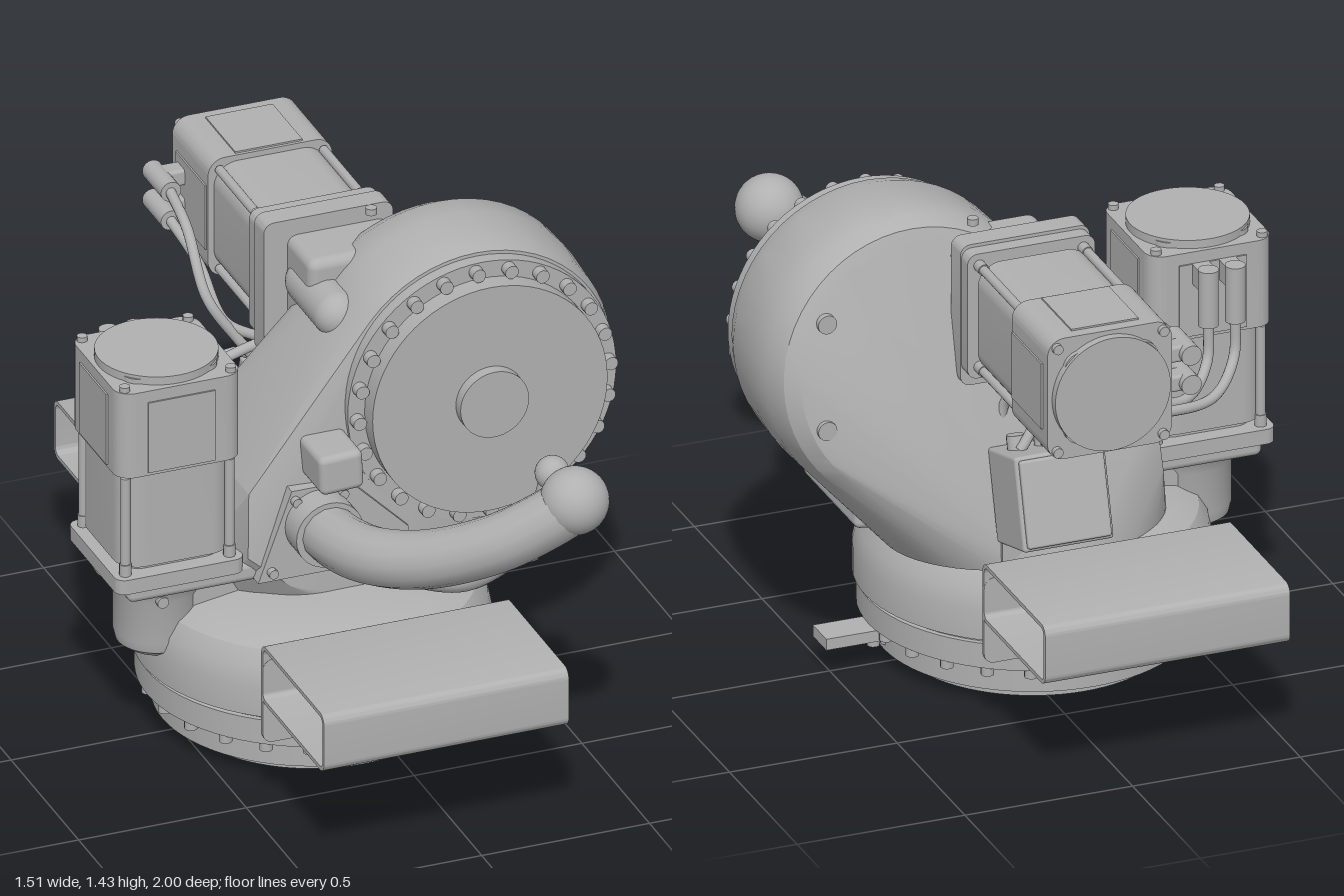
import * as THREE from 'three';
import { toCreasedNormals } from 'three/addons/utils/BufferGeometryUtils.js';
import { ConvexGeometry } from 'three/addons/geometries/ConvexGeometry.js';
import { RoundedBoxGeometry } from 'three/addons/geometries/RoundedBoxGeometry.js';

const grey = new THREE.MeshStandardMaterial({ color: 0xb0b0b0 });
grey.name = 'castGrey';

const V = (x, y, z) => new THREE.Vector3(x, y, z);

function add(parent, name, geo, x = 0, y = 0, z = 0, rx = 0, ry = 0, rz = 0) {
  const m = new THREE.Mesh(geo, grey);
  m.name = name;
  m.position.set(x, y, z);
  m.rotation.set(rx, ry, rz);
  parent.add(m);
  return m;
}
const box = (w, h, d) => new THREE.BoxGeometry(w, h, d);
const rbox = (w, h, d, r = 0.02) => new RoundedBoxGeometry(w, h, d, 3, r);
const cyl = (r, h, n = 48) => new THREE.CylinderGeometry(r, r, h, n);
const lathe = (pts, n = 72) =>
  toCreasedNormals(new THREE.LatheGeometry(pts.map(p => new THREE.Vector2(...p)), n), 0.5);
const tube = (pts, r, seg = 40) =>
  new THREE.TubeGeometry(new THREE.CatmullRomCurve3(pts.map(p => V(...p))), seg, r, 14);

// rectangle outline with rounded corners
function roundRect(P, x0, y0, x1, y1, r) {
  const s = new P();
  s.moveTo(x0 + r, y0);
  s.lineTo(x1 - r, y0); s.absarc(x1 - r, y0 + r, r, -Math.PI / 2, 0);
  s.lineTo(x1, y1 - r); s.absarc(x1 - r, y1 - r, r, 0, Math.PI / 2);
  s.lineTo(x0 + r, y1); s.absarc(x0 + r, y1 - r, r, Math.PI / 2, Math.PI);
  s.lineTo(x0, y0 + r); s.absarc(x0 + r, y0 + r, r, Math.PI, Math.PI * 1.5);
  return s;
}
const extrude = (shape, depth) =>
  toCreasedNormals(new THREE.ExtrudeGeometry(shape, { depth, bevelEnabled: false, curveSegments: 6 }), 0.5);

// square column with rounded corners, standing on y = 0
const column = (w, h, r) =>
  extrude(roundRect(THREE.Shape, -w / 2, -w / 2, w / 2, w / 2, r), h).rotateX(-Math.PI / 2);

// servo motor standing on its flange, shaft down
function motor(name) {
  const g = new THREE.Group();
  g.name = name;
  add(g, 'motorFlange', column(0.38, 0.045, 0.03));
  add(g, 'motorCore', column(0.28, 0.6, 0.05), 0, 0.04);
  add(g, 'motorLowerBody', column(0.335, 0.31, 0.07), 0, 0.065);
  add(g, 'motorUpperBody', column(0.37, 0.265, 0.05), 0, 0.36);
  add(g, 'motorCap', cyl(0.172, 0.03), 0, 0.635);
  for (const sx of [-1, 1]) for (const sz of [-1, 1]) {
    add(g, 'motorFootBolt', cyl(0.017, 0.04, 12), sx * 0.155, 0.06, sz * 0.155);
    add(g, 'motorTopBolt', cyl(0.015, 0.02, 12), sx * 0.158, 0.63, sz * 0.158);
    add(g, 'motorTieRod', cyl(0.014, 0.3, 10), sx * 0.155, 0.2, sz * 0.155);
  }
  for (let i = 0; i < 4; i++) {
    const a = i * Math.PI / 2;
    add(g, 'motorSidePanel', box(0.2, 0.22, 0.008),
      Math.sin(a) * 0.186, 0.48, Math.cos(a) * 0.186, 0, a);
  }
  return g;
}

// forklift pocket with its mounting plate, lugs and bolts, facing +z
function forkPocket(name) {
  const g = new THREE.Group();
  g.name = name;
  const w = 0.73;
  const s = roundRect(THREE.Shape, -1, 0.35, -0.535, 0.53, 0.03);
  s.holes.push(roundRect(THREE.Path, -0.988, 0.362, -0.547, 0.518, 0.02));
  add(g, 'pocketTube', extrude(s, w).rotateY(Math.PI / 2), -w / 2);
  add(g, 'pocketPlate', extrude(roundRect(THREE.Shape, -w / 2, 0.22, w / 2, 0.48, 0.03), 0.013), 0, 0, 0.535);
  for (const x of [-0.177, 0.177]) {
    add(g, 'pocketLug', rbox(0.24, 0.13, 0.22, 0.015), x, 0.285, 0.425);
    add(g, 'pocketWasher', cyl(0.046, 0.02, 32), x, 0.27, 0.555, Math.PI / 2);
    add(g, 'pocketBolt', cyl(0.028, 0.06, 24), x, 0.27, 0.58, Math.PI / 2);
  }
  return g;
}

export function createModel() {
  const root = new THREE.Group();
  root.name = 'robotShoulder';
  const bx = -0.105;

  // turntable base with recessed bore
  add(root, 'turntableBase', lathe([
    [0, 0.06], [0.12, 0.06], [0.12, 0], [0.385, 0], [0.385, 0.04], [0.445, 0.04], [0.445, 0.125],
    [0.49, 0.125], [0.49, 0.2], [0.475, 0.2], [0.475, 0.215], [0.5, 0.215], [0.5, 0.3],
    [0.487, 0.36], [0.46, 0.405], [0.4, 0.435], [0.25, 0.46], [0, 0.47]]), bx);
  for (let i = 0; i < 24; i++) {
    const a = (i + 0.5) * Math.PI / 12;
    add(root, 'baseBolt', cyl(0.019, 0.03, 12), bx + 0.466 * Math.cos(a), 0.112, 0.466 * Math.sin(a));
  }
  // stop tab with its bolts
  add(root, 'stopTab', box(0.27, 0.034, 0.1), 0.395, 0.107, 0);
  for (const x of [0.28, 0.33, 0.37]) add(root, 'stopTabBolt', cyl(0.018, 0.035, 12), x, 0.075, 0);

  // fork pockets, front and back
  const front = forkPocket('frontForkPocket');
  const back = forkPocket('backForkPocket');
  front.position.x = back.position.x = bx;
  back.rotation.y = Math.PI;
  root.add(front, back);

  // main casting: barrel-shaped drum blended down to an oval foot
  const cx = 0.325, cy = 1.0, pts = [];
  const rings = [[0.155, 0.405], [0.1, 0.422], [-0.04, 0.43], [-0.15, 0.426], [-0.22, 0.4], [-0.25, 0.36]];
  for (let i = 0; i < 56; i++) {
    const a = i * Math.PI / 28, c = Math.cos(a), s = Math.sin(a);
    rings.forEach(([z, r], k) => {
      const lean = k > 2 ? 0.17 * (s * r) * (k - 2) / 3 : 0;
      pts.push(V(cx + r * c, cy + r * s, z + lean));
    });
    pts.push(V(-0.03 + 0.41 * c, 0.42, -0.11 + 0.32 * s));
  }
  for (const [x, y, z] of [[-0.36, 0.79, 0.17], [-0.36, 0.79, -0.27], [-0.37, 0.6, 0.19], [-0.37, 0.6, -0.31],
    [-0.25, 0.5, 0.21], [-0.2, 0.6, -0.38], [0.2, 0.5, 0.2]]) pts.push(V(x, y, z));
  add(root, 'shoulderCasting', toCreasedNormals(new ConvexGeometry(pts), 0.45));

  // output flange with bolt circle, disc and hub
  const disc = (name, r, z0, z1, n = 72) =>
    add(root, name, cyl(r, z1 - z0, n), cx, 0.995, (z0 + z1) / 2, Math.PI / 2);
  disc('outputFlange', 0.4, 0.12, 0.195);
  disc('outputDisc', 0.35, 0.15, 0.255);
  disc('outputHub', 0.102, 0.25, 0.29, 48);
  for (let i = 0; i < 24; i++) {
    const a = (i + 0.2) * Math.PI / 12;
    add(root, 'flangeBolt', cyl(0.02, 0.04, 14),
      cx + 0.375 * Math.cos(a), 0.995 + 0.375 * Math.sin(a), 0.205, Math.PI / 2);
  }

  // bump stops on the front
  add(root, 'lowerBumper', rbox(0.18, 0.13, 0.4, 0.02), 0.372, 0.528, 0.09, 0, 0, 0.1);
  add(root, 'upperBumper', rbox(0.13, 0.12, 0.22, 0.02), -0.14, 0.885, 0.21, 0, 0, 0.05);

  // hose entry plate
  const plate = new THREE.Shape([[-0.35, 0.53], [0.1, 0.53], [0.1, 0.62], [-0.08, 0.8], [-0.25, 0.8]]
    .map(p => new THREE.Vector2(...p)));
  add(root, 'hosePlate', extrude(plate, 0.05), 0, 0, 0.165);
  for (const [x, y] of [[-0.31, 0.56], [-0.24, 0.77], [-0.1, 0.77], [0.07, 0.56]])
    add(root, 'hosePlateBolt', cyl(0.014, 0.03, 12), x, y, 0.22, Math.PI / 2);

  // hoses ending in balls
  add(root, 'largeHoseCollar', cyl(0.1, 0.1, 32), -0.17, 0.69, 0.25, Math.PI / 2);
  add(root, 'largeHose', tube([[-0.17, 0.69, 0.18], [-0.165, 0.695, 0.34], [-0.12, 0.715, 0.5],
    [-0.02, 0.76, 0.65], [0.13, 0.85, 0.79], [0.25, 0.935, 0.86], [0.322, 0.99, 0.89]], 0.083));
  add(root, 'largeHoseBall', new THREE.SphereGeometry(0.097, 36, 24), 0.322, 0.995, 0.888);
  add(root, 'smallHoseCollar', cyl(0.045, 0.1, 24), -0.04, 0.6, 0.25, Math.PI / 2);
  add(root, 'smallHose', tube([[-0.04, 0.6, 0.2], [-0.03, 0.6, 0.34], [0.02, 0.61, 0.47],
    [0.12, 0.645, 0.6], [0.23, 0.76, 0.685], [0.295, 0.88, 0.71], [0.325, 0.99, 0.715]], 0.034));
  add(root, 'smallHoseBall', new THREE.SphereGeometry(0.049, 28, 18), 0.325, 0.995, 0.715);

  // upright motor on its gear housing at the right side
  const m1 = motor('uprightMotor');
  m1.position.set(-0.567, 0.56, 0);
  root.add(m1);
  add(root, 'uprightMotorHousing', lathe([[0, 0.29], [0.09, 0.29], [0.115, 0.31], [0.122, 0.34],
    [0.122, 0.47], [0.14, 0.51], [0.18, 0.54], [0.18, 0.565], [0, 0.565]], 48), -0.567);
  add(root, 'uprightMotorWeb', rbox(0.32, 0.25, 0.2, 0.03), -0.42, 0.42, 0);
  add(root, 'uprightMotorShelf', rbox(0.42, 0.06, 0.36, 0.02), -0.51, 0.55, 0);
  add(root, 'webPin', cyl(0.017, 0.02, 14), -0.6, 0.48, 0.125, Math.PI / 2);

  // rear motor with mounting plate, neck and shaft boss
  const m2 = motor('rearMotor');
  m2.position.set(0.042, 1.19, -0.31);
  m2.rotation.x = -Math.PI / 2;
  root.add(m2);
  add(root, 'rearMotorPlate', extrude(roundRect(THREE.Shape, -0.15, 0.96, 0.235, 1.39, 0.03), 0.07), 0, 0, -0.31);
  add(root, 'rearMotorNeck', rbox(0.3, 0.34, 0.2, 0.03), 0.07, 1.17, -0.17);
  add(root, 'shaftBoss', new THREE.CapsuleGeometry(0.068, 0.2, 8, 24), -0.03, 1.21, -0.1, Math.PI / 2);

  // lifting eye points and casting plugs
  add(root, 'topPlug', cyl(0.016, 0.02, 14), 0.15, 1.4, -0.19);
  for (const [x, y] of [[0.6, 1.18], [0.62, 0.88], [0.42, 0.65]])
    add(root, 'rearPlug', cyl(0.028, 0.03, 20), x, y, -0.25 - 0.17 * (1 - y), Math.PI / 2);

  // tilted junction box
  const jb = new THREE.Group();
  jb.name = 'junctionBox';
  jb.position.set(0.03, 0.67, -0.47);
  jb.rotation.x = 0.27;
  add(jb, 'junctionBoxBody', rbox(0.27, 0.27, 0.21, 0.01));
  add(jb, 'junctionBoxLid', rbox(0.25, 0.25, 0.02, 0.008), 0, 0, -0.11);
  for (const x of [-0.08, 0, 0.08]) add(jb, 'cableGland', cyl(0.026, 0.05, 16), x, 0.15, 0.02);
  root.add(jb);
  add(root, 'junctionBoxBracket', box(0.24, 0.3, 0.12), 0.03, 0.58, -0.35);

  // connectors and cables
  for (const y of [1.24, 1.15]) {
    add(root, 'rearMotorSocket', rbox(0.09, 0.05, 0.06, 0.01), -0.175, y, -0.86);
    add(root, 'rearMotorConnector', cyl(0.03, 0.14, 18), -0.213, y, -0.84, Math.PI / 2);
  }
  for (const x of [-0.61, -0.53]) {
    add(root, 'uprightMotorSocket', box(0.05, 0.06, 0.08), x, 1.12, -0.21);
    add(root, 'uprightMotorConnector', cyl(0.029, 0.17, 18), x, 1.07, -0.245);
  }
  const cables = [
    [[-0.213, 1.24, -0.78], [-0.225, 1.2, -0.62], [-0.22, 1.05, -0.49], [-0.14, 0.92, -0.46], [-0.05, 0.8, -0.44]],
    [[-0.213, 1.15, -0.78], [-0.2, 1.1, -0.6], [-0.17, 0.97, -0.48], [-0.06, 0.9, -0.46], [0.03, 0.8, -0.44]],
    [[-0.61, 1.0, -0.245], [-0.6, 0.88, -0.26], [-0.5, 0.82, -0.36], [-0.32, 0.84, -0.44], [-0.12, 0.87, -0.47], [-0.05, 0.8, -0.44]],
    [[-0.53, 1.0, -0.245], [-0.52, 0.88, -0.26], [-0.42, 0.83, -0.36], [-0.25, 0.87, -0.42], [0, 0.92, -0.42], [0.11, 0.8, -0.44]],
    [[0.03, 0.8, -0.44], [0.06, 0.92, -0.4], [0.1, 0.9, -0.32], [0.12, 0.78, -0.3]],
  ];
  cables.forEach(c => add(root, 'cable', tube(c, 0.015, 36)));

  return root;
}
